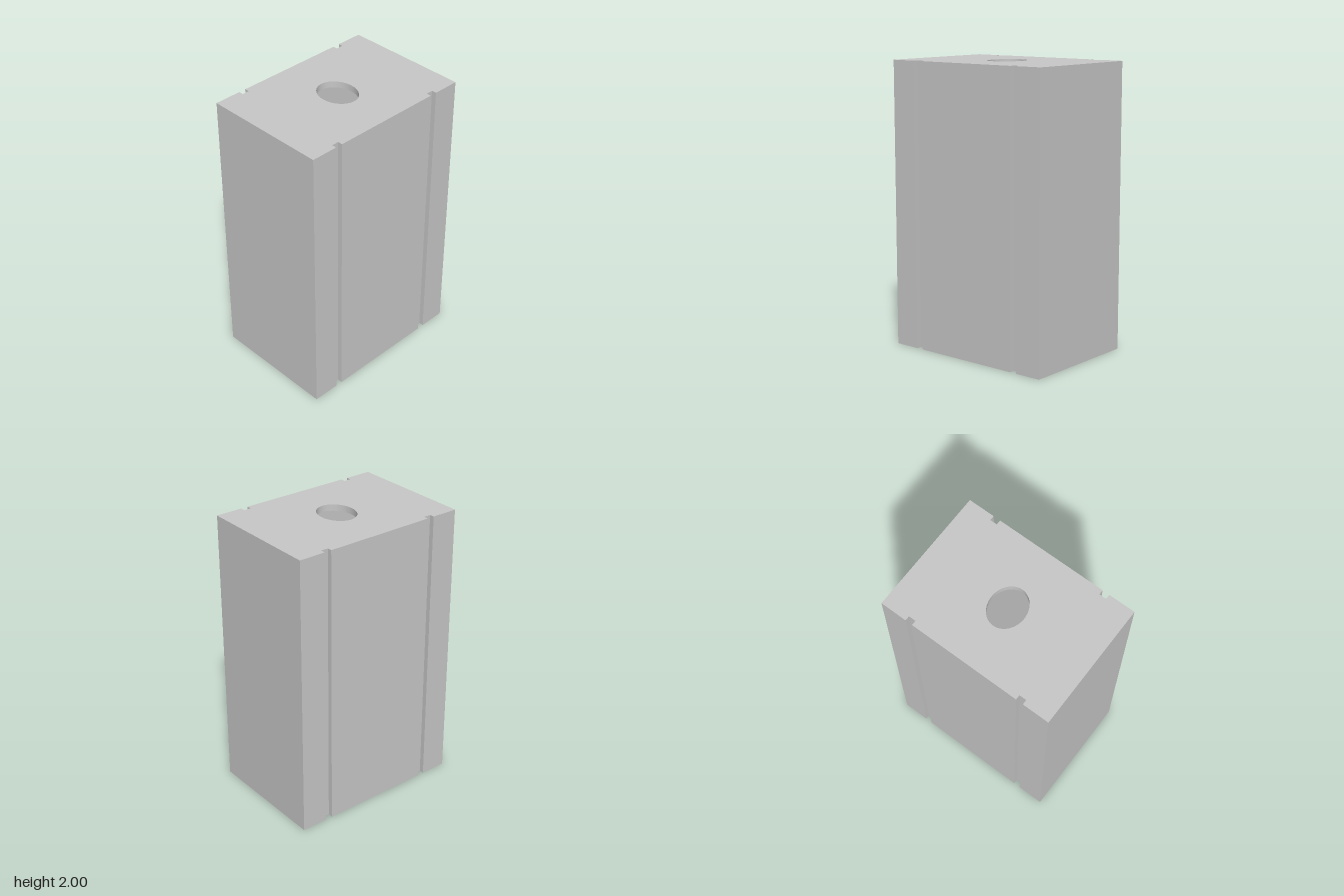
import * as THREE from 'three';

const HEIGHT = 2, HALF_X = 0.635, HALF_Z = 0.443;
const WALL_X = 0.041, WALL_Z = 0.054, CAP = 0.045;
const GROOVE_X = 0.421, GROOVE_HALF = 0.025, GROOVE_DEPTH = 0.034;

// Block footprint with two grooves cut into the front and two into the back
function footprint() {
  const shape = new THREE.Shape();
  for (const s of [1, -1]) {
    const points = [[-HALF_X, -HALF_Z]];
    for (const x of [-GROOVE_X, GROOVE_X]) {
      points.push(
        [x - GROOVE_HALF, -HALF_Z], [x - GROOVE_HALF, -HALF_Z + GROOVE_DEPTH],
        [x + GROOVE_HALF, -HALF_Z + GROOVE_DEPTH], [x + GROOVE_HALF, -HALF_Z]);
    }
    points.push([HALF_X, -HALF_Z]);
    points.forEach(([x, z], i) =>
      s === 1 && i === 0 ? shape.moveTo(x, z) : shape.lineTo(s * x, s * z));
  }
  shape.closePath();
  return shape;
}

// Extrude a footprint upward from height y
function slab(name, shape, y, height, material) {
  const geometry = new THREE.ExtrudeGeometry(shape, { depth: height, bevelEnabled: false, curveSegments: 48 });
  geometry.rotateX(-Math.PI / 2);
  const mesh = new THREE.Mesh(geometry, material);
  mesh.name = name;
  mesh.position.y = y;
  return mesh;
}

export function createModel() {
  const group = new THREE.Group();
  group.name = 'hollowBlock';
  const concrete = new THREE.MeshStandardMaterial({ color: 0xc7c7c7 });
  concrete.name = 'lightGrey';

  // Hollow walls, open at the bottom
  const wallShape = footprint();
  const x = HALF_X - WALL_X, z = HALF_Z - WALL_Z;
  wallShape.holes.push(new THREE.Path().moveTo(-x, -z).lineTo(-x, z).lineTo(x, z).lineTo(x, -z).closePath());
  group.add(slab('walls', wallShape, 0, HEIGHT - CAP, concrete));

  // Top plate with an oval grip hole
  const topShape = footprint();
  topShape.holes.push(new THREE.Path().absellipse(0, 0, 0.124, 0.149, 0, Math.PI * 2, true));
  group.add(slab('topPlate', topShape, HEIGHT - CAP, CAP, concrete));

  return group;
}
